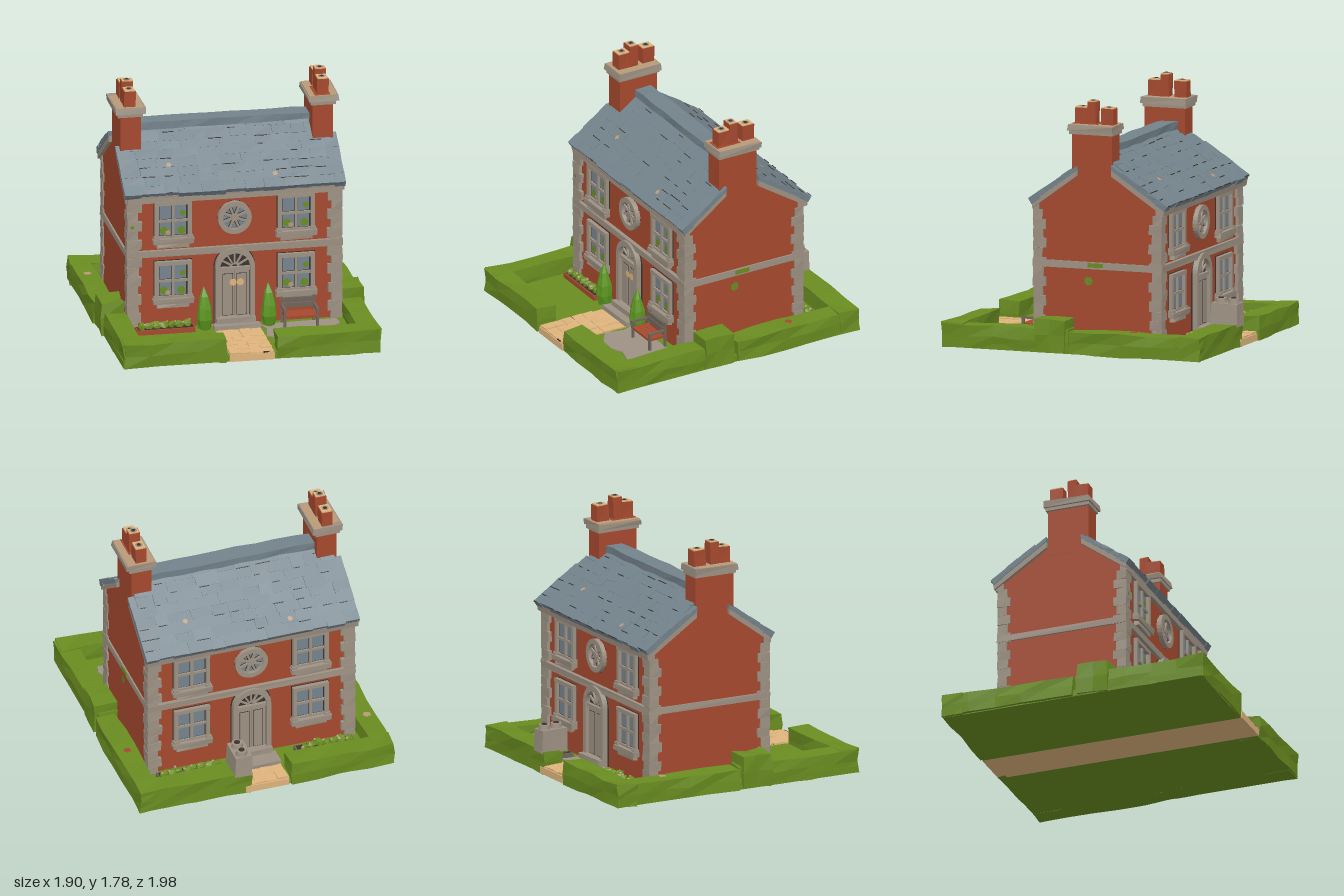
import * as THREE from 'three';
import { mergeGeometries } from 'three/addons/utils/BufferGeometryUtils.js';

const mat = (name, color) => {
  const m = new THREE.MeshStandardMaterial({ color });
  m.name = name;
  return m;
};

export function createModel() {
  const brick = mat('brick red', 0xa6492e), stone = mat('stone grey', 0x9d9183);
  const slate = mat('slate blue', 0x73828b), leaf = mat('hedge green', 0x698c20);
  const shrub = mat('shrub green', 0x5c961f), sand = mat('sand', 0xdfb47c);
  const glass = mat('window glass', 0x75848f), ink = mat('dark line', 0x3a332e);
  const sandstone = mat('weathered sandstone', 0xb89a78), timber = mat('weathered timber', 0x6f655b);

  let seed = 7;
  const rnd = () => (seed = (seed * 16807) % 2147483647) / 2147483647;
  const hash = (x, y, z, k) => {
    const s = Math.sin(Math.round(x * 500) * 12.9 + Math.round(y * 500) * 78.2 + Math.round(z * 500) * 37.7 + k * 51.3) * 43758.5;
    return s - Math.floor(s) - 0.5;
  };
  const flat = geo => (geo.index ? geo.toNonIndexed() : geo);
  // Hand-cut look: shift shared corners together, then facet the surface
  const rough = (geo, a, salt = 0) => {
    const p = geo.attributes.position;
    for (let i = 0; i < p.count; i++) {
      const [x, y, z] = [p.getX(i), p.getY(i), p.getZ(i)];
      p.setXYZ(i, x + a * hash(x, y, z, salt + 1), y + a * hash(x, y, z, salt + 2), z + a * hash(x, y, z, salt + 3));
    }
    const g = flat(geo);
    g.computeVertexNormals();
    return g;
  };
  const box = (x0, x1, y0, y1, z0, z1) => new THREE.BoxGeometry(x1 - x0, y1 - y0, z1 - z0)
    .translate((x0 + x1) / 2, (y0 + y1) / 2, (z0 + z1) / 2);
  const add = (parent, name, geo, material) => {
    const m = new THREE.Mesh(Array.isArray(geo) ? mergeGeometries(geo.map(flat)) : geo, material);
    m.name = name;
    parent.add(m);
  };
  const group = (parent, name) => {
    const g = new THREE.Group();
    g.name = name;
    parent.add(g);
    return g;
  };
  const model = new THREE.Group();
  model.name = 'houseWithGarden';

  // Ground: lawns either side of a path running right through
  const garden = group(model, 'garden');
  add(garden, 'lawn', [box(-0.92, -0.16, 0, 0.05, -0.97, 0.97), box(0.16, 0.92, 0, 0.05, -0.97, 0.97)], leaf);
  add(garden, 'path', box(-0.16, 0.16, 0, 0.05, -0.98, 0.98), sand);
  const cobbles = [], joints = [];
  for (const [z0, rows] of [[0.47, 6], [-0.97, 2]])
    for (let r = 0; r < rows; r++) for (let c = 0; c < 4; c++) {
      const x = -0.157 + c * 0.079, z = z0 + r * 0.084;
      cobbles.push(rough(box(x, x + 0.079, 0.03, 0.058 + rnd() * 0.005, z, z + 0.083), 0.006, r * 4 + c));
      if (rnd() < 0.2) joints.push(box(x, x + 0.05, 0.05, 0.061, z + 0.08, z + 0.084));
    }
  add(garden, 'cobbles', cobbles, sand);
  add(garden, 'cobbleJoints', joints, ink);
  // Irregular paved patch under the bench
  const patio = new THREE.Shape([[0.17, 0.4], [0.72, 0.37], [0.73, 0.47], [0.65, 0.55], [0.7, 0.66], [0.68, 0.73], [0.56, 0.7],
    [0.48, 0.68], [0.38, 0.73], [0.27, 0.71], [0.17, 0.64], [0.2, 0.5]].map(([x, z]) => new THREE.Vector2(x, -z)));
  add(garden, 'patio', new THREE.ExtrudeGeometry(patio, { depth: 0.008, bevelEnabled: false })
    .rotateX(-Math.PI / 2).translate(0, 0.05, 0), stone);

  // Hedges
  const hedge = (x0, x1, y1, z0, z1, salt) => {
    const w = x1 - x0, d = z1 - z0;
    const g = new THREE.BoxGeometry(w, y1, d, Math.ceil(w / 0.22), 2, Math.ceil(d / 0.22))
      .translate((x0 + x1) / 2, y1 / 2 + 0.004, (z0 + z1) / 2);
    return rough(g, 0.018, salt);
  };
  const hedges = [hedge(-0.94, -0.18, 0.16, -0.98, -0.82, 1), hedge(0.12, 0.94, 0.16, -0.98, -0.82, 2)];
  for (const s of [-1, 1]) {
    const side = (a, b) => [Math.min(s * a, s * b), Math.max(s * a, s * b)];
    hedges.push(hedge(...side(0.185, 0.91), 0.165, 0.83, 0.98, 3 + s));
    hedges.push(hedge(...side(0.77, 0.92), 0.16, 0.02, 0.97, 7 + s));
    hedges.push(hedge(...side(0.79, 0.94), 0.155, -0.975, 0.01, 11 + s));
    hedges.push(hedge(...side(0.77, 0.94), 0.235, 0.04, 0.27, 15 + s));
  }
  add(garden, 'hedges', hedges, leaf);
  const patch = (x, z, r) => new THREE.CircleGeometry(r, 5).rotateX(-Math.PI / 2).translate(x, 0.171, z);
  add(garden, 'hedgeBrickSpot', patch(0.86, -0.45, 0.03), brick);
  add(garden, 'hedgeDrySpot', patch(-0.87, -0.58, 0.032), sandstone);

  // Clipped cone shrubs beside the door
  const cone = [[0, 0], [0.045, 0.01], [0.058, 0.08], [0.052, 0.16], [0.03, 0.25], [0, 0.315]].map(p => new THREE.Vector2(...p));
  for (const x of [-0.23, 0.23])
    add(garden, 'coneShrub', rough(new THREE.LatheGeometry(cone, 8), 0.012).translate(x, 0.05, 0.41), shrub);

  // Planting beds
  const bed = (x0, x1, z0, z1, material) => {
    const g = group(garden, 'plantingBed'), d = 0.012;
    add(g, 'bedTray', box(x0, x1, 0.04, 0.085, z0, z1), material);
    add(g, 'bedSoil', box(x0 + d, x1 - d, 0.08, 0.089, z0 + d, z1 - d), ink);
    const bushes = [], blooms = [];
    for (let x = x0 + 0.04; x < x1 - 0.02; x += 0.055) {
      const z = (z0 + z1) / 2 + (rnd() - 0.5) * 0.03;
      bushes.push(rough(new THREE.IcosahedronGeometry(0.03 + rnd() * 0.008, 0), 0.015, x * 100).translate(x, 0.1, z));
      blooms.push(new THREE.IcosahedronGeometry(0.011, 0).translate(x + 0.02, 0.12, z + (rnd() - 0.5) * 0.05));
    }
    add(g, 'bedPlants', bushes, leaf);
    add(g, 'bedBlooms', blooms, sandstone);
  };
  bed(-0.72, -0.3, 0.36, 0.45, brick);
  bed(-0.73, -0.3, -0.77, -0.66, timber);
  bed(0.25, 0.72, -0.77, -0.66, timber);

  // Bench
  const bench = group(garden, 'bench');
  add(bench, 'benchSeat', [0, 1, 2].map(i => box(0.33, 0.56, 0.125, 0.142, 0.385 + i * 0.042, 0.426 + i * 0.042)), brick);
  add(bench, 'benchBack', [0, 1].map(i => box(0.33, 0.56, 0.165 + i * 0.04, 0.198 + i * 0.04, 0.375, 0.39)), timber);
  add(bench, 'benchFrame', [0.32, 0.552].flatMap(x => [box(x, x + 0.018, 0.05, 0.245, 0.372, 0.387),
    box(x, x + 0.018, 0.05, 0.18, 0.495, 0.512), box(x, x + 0.018, 0.175, 0.19, 0.38, 0.515)]), timber);

  // Stone store with two round lids, standing on the back hedge
  const store = group(garden, 'stoneStore');
  add(store, 'storeBody', rough(box(0.12, 0.24, 0.15, 0.31, -0.985, -0.785), 0.012), stone);
  for (const z of [-0.935, -0.84]) {
    add(store, 'storeLid', new THREE.CylinderGeometry(0.04, 0.045, 0.04, 8).translate(0.18, 0.325, z), stone);
    add(store, 'lidHole', new THREE.CylinderGeometry(0.022, 0.022, 0.006, 8).translate(0.18, 0.347, z), ink);
  }

  // House walls with gables
  const house = group(model, 'house');
  const extrudeX = (pts, half) => new THREE.ExtrudeGeometry(new THREE.Shape(pts.map(([z, y]) => new THREE.Vector2(-z, y))),
    { depth: half * 2, bevelEnabled: false }).translate(0, 0, -half).rotateY(Math.PI / 2);
  add(house, 'walls', extrudeX([[0.32, 0.03], [-0.6, 0.03], [-0.6, 1.03], [-0.13, 1.36], [0.32, 1.03]], 0.76), brick);
  add(house, 'stringCourse', rough(box(-0.772, 0.772, 0.585, 0.635, -0.628, 0.348), 0.006), stone);
  add(house, 'eavesBoards', [box(-0.77, 0.77, 0.99, 1.045, 0.3, 0.35), box(-0.77, 0.77, 0.99, 1.045, -0.64, -0.58)], stone);
  const quoins = [];
  for (const s of [-1, 1]) for (const [z, d] of [[0.345, -1], [-0.625, 1]]) for (let i = 0; i < 14; i++) {
    const w = (i % 2 ? 0.1 : 0.078) + rnd() * 0.008, l = (i % 2 ? 0.07 : 0.092) + rnd() * 0.008, y = 0.04 + i * 0.068;
    quoins.push(rough(box(Math.min(s * 0.77, s * (0.77 - w)), Math.max(s * 0.77, s * (0.77 - w)), y, y + 0.068,
      Math.min(z, z + d * l), Math.max(z, z + d * l)), 0.006, i));
  }
  add(house, 'cornerStones', quoins, stone);
  // Moss on the stone and gable
  add(house, 'moss', [new THREE.CircleGeometry(0.033, 7).rotateY(Math.PI / 2).translate(0.762, 0.5, -0.07),
    box(0.77, 0.777, 0.6, 0.63, -0.18, -0.07), new THREE.CircleGeometry(0.014, 6).translate(-0.735, 0.82, 0.35)], leaf);

  // Facade details, shared by front and back
  const archShape = (r, y0, y1) => new THREE.Shape().moveTo(-r, y0).lineTo(r, y0).lineTo(r, y1).absarc(0, y1, r, 0, Math.PI, false).lineTo(-r, y0);
  const plate = (shape, depth) => new THREE.ExtrudeGeometry(shape, { depth, bevelEnabled: false, curveSegments: 14 });
  const spoke = (len, w, angle, r0, y, z) => new THREE.BoxGeometry(len, w, 0.014).translate(r0 + len / 2, 0, 0).rotateZ(angle).translate(0, y, z);
  const facade = (z, turn) => {
    const f = group(house, turn ? 'backFacade' : 'frontFacade');
    f.position.z = z;
    f.rotation.y = turn;
    for (const x of [-0.44, 0.44]) for (const y of [0.21, 0.655]) {
      const w = group(f, 'window');
      w.position.set(x, y, 0);
      add(w, 'windowOutline', box(-0.137, 0.137, 0.04, 0.345, -0.002, 0.004), ink);
      add(w, 'paneGaps', box(-0.108, 0.108, 0.07, 0.318, 0, 0.006), ink);
      add(w, 'panes', [-0.055, 0.055].flatMap(a => [[0.086, 0.181], [0.207, 0.308]].map(([b, c]) =>
        box(a - 0.041, a + 0.041, b, c, 0, 0.008))), glass);
      if (!turn) {
        add(w, 'paneReflections', [[-0.065, 0.122, 0.03], [0.06, 0.118, 0.031], [0.07, 0.245, 0.022]].map(([a, b, r]) =>
          new THREE.CircleGeometry(r, 7).translate(a, b, 0.009)), leaf);
        add(w, 'paneGlints', new THREE.CircleGeometry(0.02, 5).translate(-0.035, 0.105, 0.0095), sandstone);
      }
      add(w, 'windowFrame', [box(-0.132, -0.104, 0.05, 0.34, 0, 0.03), box(0.104, 0.132, 0.05, 0.34, 0, 0.03),
        box(-0.132, 0.132, 0.312, 0.34, 0, 0.033), box(-0.01, 0.01, 0.06, 0.32, 0, 0.022),
        box(-0.108, 0.108, 0.185, 0.203, 0, 0.02), box(-0.108, 0.108, 0.06, 0.082, 0, 0.02)], stone);
      add(w, 'sill', [rough(box(-0.145, 0.145, 0.03, 0.068, 0, 0.05), 0.008, x),
        rough(box(-0.115, 0.115, 0, 0.034, 0, 0.035), 0.01, x), box(-0.14, -0.1, 0.06, 0.085, 0, 0.04), box(0.1, 0.14, 0.06, 0.085, 0, 0.04)], stone);
    }
    // Round window
    const r = group(f, 'roundWindow');
    add(r, 'roundOutline', new THREE.CircleGeometry(0.125, 10).translate(0, 0.845, 0.003), ink);
    add(r, 'roundPane', new THREE.CircleGeometry(0.095, 16).translate(0, 0.845, 0.006), glass);
    const ring = new THREE.Shape().absarc(0, 0.845, 0.12, 0, Math.PI * 2, false);
    ring.holes.push(new THREE.Path().absarc(0, 0.845, 0.085, 0, Math.PI * 2, true));
    add(r, 'roundFrame', plate(ring, 0.035), stone);
    const spokes = (w, depth) => [...Array(8)].map((_, i) => spoke(0.09, w, i * Math.PI / 4 + 0.39, 0, 0.845, depth));
    add(r, 'roundSpokeShadows', spokes(0.026, 0.001), ink);
    add(r, 'roundSpokes', spokes(0.016, 0.013), stone);
    add(r, 'roundHub', new THREE.CylinderGeometry(0.025, 0.025, 0.03, 8).rotateX(Math.PI / 2).translate(0, 0.845, 0.012), stone);
    // Arched doorway
    const d = group(f, 'doorway');
    const surround = archShape(0.14, 0.06, 0.485);
    surround.holes.push(archShape(0.108, 0.09, 0.475));
    add(d, 'doorOutline', plate(archShape(0.147, 0.05, 0.485), 0.006), ink);
    add(d, 'doorSurround', plate(surround, 0.045), stone);
    add(d, 'doorLeaves', [box(-0.103, -0.002, 0.09, 0.455, 0, 0.02), box(0.002, 0.103, 0.09, 0.455, 0, 0.02),
      box(-0.108, 0.108, 0.455, 0.478, 0, 0.032)], stone);
    const panels = (inset, front) => [-0.05, 0.05].map(x => box(x - 0.037 + inset, x + 0.037 - inset, 0.12 + inset, 0.43 - inset, 0.01, front));
    add(d, 'doorPanelLines', panels(0, 0.022), ink);
    add(d, 'doorPanels', panels(0.004, 0.025), stone);
    if (!turn) add(d, 'doorKnobs', [-0.012, 0.04].map(x => new THREE.CircleGeometry(0.027, 8).translate(x, 0.365, 0.0265)), sand);
    add(d, 'fanlight', [1, 2, 3, 4, 5].map(i => spoke(0.09, 0.012, i * Math.PI / 6, 0.02, 0.475, 0.012)), stone);
    add(d, 'doorSteps', [rough(box(-0.14, 0.14, 0.03, 0.115, 0, 0.08), 0.008), rough(box(-0.165, 0.165, 0.03, 0.08, 0.06, turn ? 0.2 : 0.14), 0.008)], stone);
  };
  facade(0.32, 0);
  facade(-0.6, Math.PI);

  // Roof: wide lower slabs, narrower crown between the chimneys
  const roof = group(house, 'roof');
  add(roof, 'roofCrown', extrudeX([[0.3, 1.03], [-0.6, 1.03], [-0.6, 1.1], [-0.13, 1.41], [0.3, 1.1]], 0.74), slate);
  add(roof, 'frontSlab', extrudeX([[0.35, 1.04], [0.01, 1.285], [0.01, 1.315], [0.36, 1.065]], 0.79), slate);
  add(roof, 'backSlab', extrudeX([[-0.25, 1.3], [-0.65, 1.035], [-0.66, 1.06], [-0.25, 1.335]], 0.79), slate);
  add(roof, 'verges', [[[0.345, 1.0], [0.01, 1.245], [0.01, 1.287], [0.352, 1.042]], [[-0.25, 1.255], [-0.645, 0.995], [-0.652, 1.037], [-0.25, 1.302]]]
    .map(p => extrudeX(p, 0.785)), stone);
  for (const [z, run, turn] of [[0.36, 0.49, 0], [-0.66, 0.53, Math.PI]]) {
    const side = group(roof, 'slateCourses');
    side.position.set(0, 1.065, z);
    side.rotation.set(Math.atan2(0.35, run), turn, 0, 'YXZ');
    const tiles = [], marks = [], rows = 8, step = Math.hypot(0.35, run) / rows;
    for (let i = 0; i < rows; i++) {
      const half = (i + 1.2) / rows > 0.74 ? 0.74 : 0.79;
      for (let x = -half; x < half - 0.01;) {
        let w = 0.09 + rnd() * 0.09;
        if (x + w > half - 0.05) w = half - x;
        const low = -i * step + 0.004 + rnd() * 0.012, top = 0.008 + rnd() * 0.003;
        tiles.push(rough(box(x, x + w, i ? -0.015 : -0.035, top, -(i + 1) * step, low), 0.004, i + x * 10));
        if (rnd() < 0.3) marks.push(box(x + 0.01, x + w * (0.4 + rnd() * 0.4), 0.01, 0.0145, low, low + 0.005));
        x += w;
      }
    }
    add(side, 'slates', tiles, slate);
    add(side, 'slateShadows', marks, ink);
    add(side, 'slateLichen', [[-0.44, -0.23], [0.3, -0.1]].map(([x, v]) =>
      new THREE.CircleGeometry(0.02, 5).rotateX(-Math.PI / 2).translate(x, 0.0145, v)), sandstone);
  }
  add(roof, 'ridge', rough(new THREE.BoxGeometry(1.3, 0.05, 0.13, 9, 1, 1).translate(0, 1.42, -0.13), 0.012), slate);

  // Chimneys
  for (const s of [-1, 1]) {
    const c = group(house, s > 0 ? 'leftChimney' : 'rightChimney');
    c.position.x = s * 0.69;
    add(c, 'stack', box(-0.074, 0.0705, 1.2, 1.57, -0.247, 0.056).scale(s, 1, 1).rotateY(0), brick);
    c.children[0].geometry = box(s > 0 ? -0.076 : -0.0705, s > 0 ? 0.0705 : 0.076, 1.2, 1.57, -0.247, 0.056);
    add(c, 'capLower', box(-0.09, 0.09, 1.54, 1.57, -0.26, 0.068), stone);
    add(c, 'cap', rough(box(-0.108, 0.108, 1.565, 1.605, -0.268, 0.075), 0.012, s), stone);
    add(c, 'capTop', box(-0.1, 0.1, 1.602, 1.61, -0.262, 0.068), sandstone);
    if (s > 0) add(c, 'potBedding', box(-0.06, 0.05, 1.605, 1.614, -0.13, 0.058), brick);
    for (const [z, h, w] of [[-0.002, 0.125, 0.094], [-0.078, 0.168, 0.064], [-0.198, 0.125, 0.094]]) {
      add(c, 'pot', rough(box(-0.04, 0.04, 1.6, 1.6 + h, z - w / 2, z + w / 2), 0.008, z), brick);
      add(c, 'potRim', box(-0.036, 0.036, 1.597 + h, 1.606 + h, z - w / 2 + 0.004, z + w / 2 - 0.004), sand);
      add(c, 'potCollar', new THREE.CylinderGeometry(0.027, 0.027, 0.004, 8).translate(0, 1.606 + h, z), stone);
      add(c, 'potHole', new THREE.CylinderGeometry(0.015, 0.015, 0.006, 8).translate(0, 1.607 + h, z), ink);
    }
  }
  return model;
}
